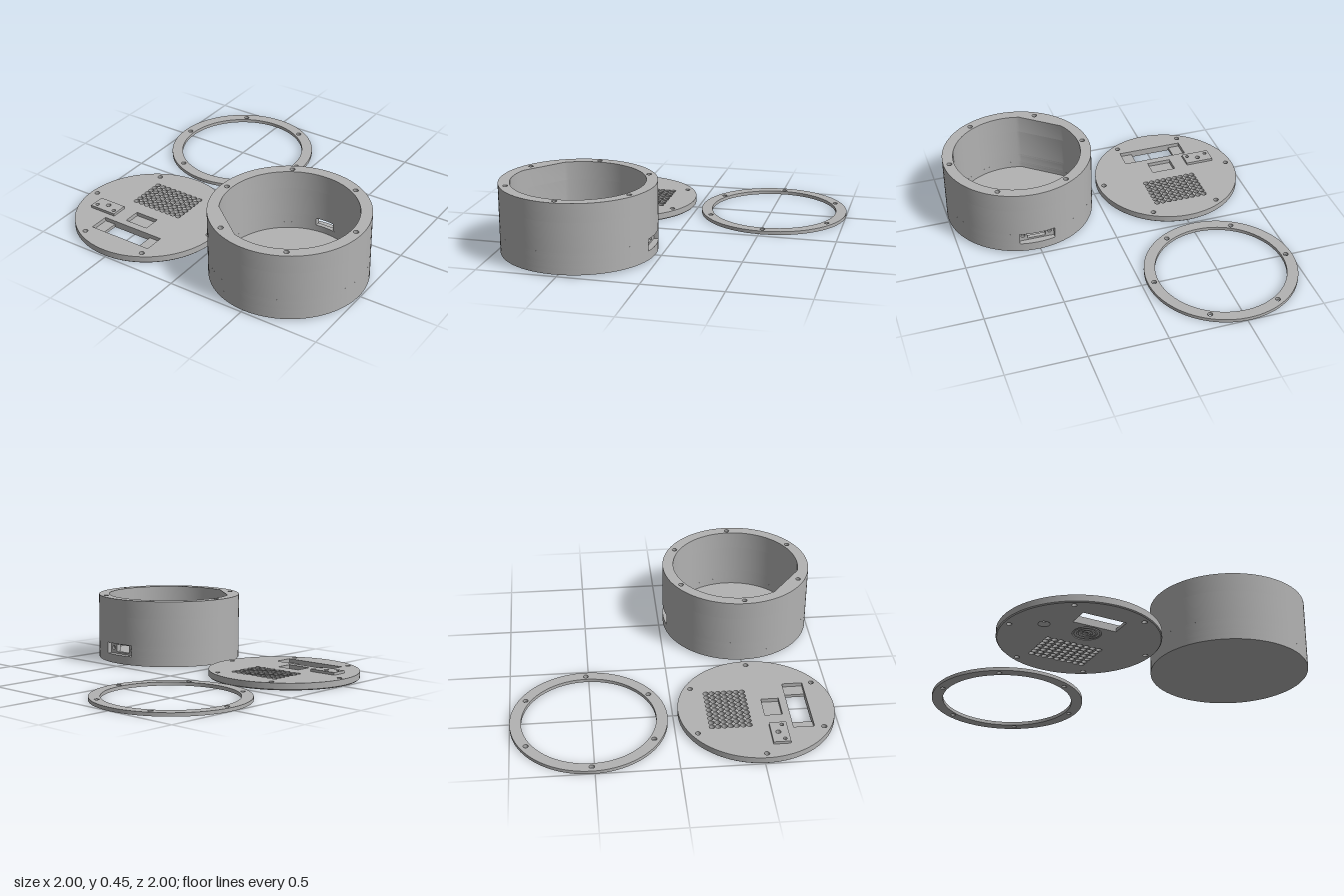
import * as THREE from 'three';
import { toCreasedNormals } from 'three/addons/utils/BufferGeometryUtils.js';

const R = 0.483, INNER = 0.413, BOLT = 0.443, TAU = Math.PI * 2;
const grey = new THREE.MeshStandardMaterial({ color: 0xb2b2b2, side: THREE.DoubleSide });
grey.name = 'plain grey';

// Outline helpers; shape coordinates are (x, -z) for flat parts
const circle = (x, y, r, n = 16) => {
  const pts = [];
  for (let i = 0; i < n; i++) {
    pts.push(new THREE.Vector2(x + r * Math.cos((i / n) * TAU), y + r * Math.sin((i / n) * TAU)));
  }
  return pts;
};
const rect = (x0, x1, y0, y1) => [[x0, y0], [x1, y0], [x1, y1], [x0, y1]].map((p) => new THREE.Vector2(...p));
const shapeOf = (outline, holes = []) => {
  const s = new THREE.Shape(outline);
  holes.forEach((h) => s.holes.push(new THREE.Path(h)));
  return s;
};
const boltHoles = () => [...Array(6).keys()].map((i) =>
  circle(BOLT * Math.cos((i * Math.PI) / 3), BOLT * Math.sin((i * Math.PI) / 3), 0.016));

// Horizontal slab between two heights
function slab(group, name, shape, y0, y1) {
  const geo = new THREE.ExtrudeGeometry(shape, { depth: y1 - y0, bevelEnabled: false, curveSegments: 48 });
  geo.rotateX(-Math.PI / 2);
  const mesh = new THREE.Mesh(toCreasedNormals(geo, 0.5), grey);
  mesh.name = name;
  mesh.position.y = y0;
  group.add(mesh);
  return mesh;
}

function makeGroup(name, x, z) {
  const g = new THREE.Group();
  g.name = name;
  g.position.set(x, 0, z);
  return g;
}

// Flat clamping ring
function clampRing() {
  const g = makeGroup('clampRing', -0.517, -0.517);
  slab(g, 'ring', shapeOf(circle(0, 0, R, 96), [circle(0, 0, INNER, 96), ...boltHoles()]), 0, 0.022);
  return g;
}

// Face plate with grille, window, sensor pocket and button mount
function facePlate() {
  const g = makeGroup('facePlate', -0.517, 0.513);
  const grille = [];
  for (let c = 0; c < 9; c++) {
    for (let r = 0; r < 7; r++) grille.push(circle(-0.168 + c * 0.0414, 0.292 - r * 0.038, 0.0175));
  }
  const through = [...grille, ...boltHoles()];
  const opening = rect(-0.138, 0.137, -0.326, -0.198);
  const bx = -0.27, by = -0.095, sy = -0.098;

  // underside layer with ring grooves
  slab(g, 'underside', shapeOf(circle(0, 0, R - 0.006, 96),
    [...through, opening, circle(bx, by, 0.035, 24), circle(0, sy, 0.085, 40)]), 0, 0.006);
  for (const [outer, inner] of [[0.075, 0.06], [0.05, 0.035], [0.025, 0.01]]) {
    slab(g, 'sensorRing', shapeOf(circle(0, sy, outer, 40), [circle(0, sy, inner, 32)]), 0, 0.006);
  }
  slab(g, 'plateCore', shapeOf(circle(0, 0, R, 96),
    [...through, opening, circle(bx, by, 0.035, 24)]), 0.006, 0.02);
  slab(g, 'plateTop', shapeOf(circle(0, 0, R, 96), [...through,
    rect(-0.213, 0.222, -0.326, -0.198), rect(-0.083, 0.077, -0.152, -0.042),
    circle(bx, by, 0.016)]), 0.02, 0.045);

  // chamfered lower edge
  const chamfer = new THREE.Mesh(new THREE.CylinderGeometry(R, R - 0.006, 0.006, 96, 1, true), grey);
  chamfer.name = 'chamfer';
  chamfer.position.y = 0.003;
  g.add(chamfer);

  // countersink below the button
  const sink = new THREE.Mesh(new THREE.CylinderGeometry(0.016, 0.035, 0.02, 24, 1, true), grey);
  sink.name = 'countersink';
  sink.position.set(bx, 0.01, -by);
  g.add(sink);

  slab(g, 'buttonMount', shapeOf(rect(-0.363, -0.177, -0.157, -0.052),
    [circle(bx, by, 0.016), circle(-0.335, -0.126, 0.012), circle(-0.204, -0.126, 0.012)]), 0.045, 0.062);
  return g;
}

// Deep cup with a flattened inner corner and a port at the back
function housing() {
  const g = makeGroup('housing', 0.517, 0.513);
  const A0 = (-106.5 * Math.PI) / 180, A1 = (-150 * Math.PI) / 180;
  const cavity = () => new THREE.Path().absarc(0, 0, INNER, A0, A1 + TAU, false).closePath();
  const wall = (holes = []) => {
    const s = shapeOf(circle(0, 0, R, 96), holes);
    s.holes.push(cavity());
    return s;
  };
  const w = 0.115, floorZ = 0.425, half = 0.06;
  const notchStart = () => {
    const a = Math.acos(w / R);
    return new THREE.Shape().absarc(0, 0, R, Math.PI - a, a + TAU, false).lineTo(w, floorZ);
  };
  // wall with the outer recess only
  const recessed = () => {
    const s = notchStart().lineTo(-w, floorZ).closePath();
    s.holes.push(cavity());
    return s;
  };
  // wall cut right through
  const b = Math.acos(half / INNER);
  const split = notchStart().lineTo(half, floorZ)
    .absarc(0, 0, INNER, b, A0, true)
    .absarc(0, 0, INNER, A1, -Math.PI - b, true)
    .lineTo(-half, floorZ).lineTo(-w, floorZ).closePath();

  slab(g, 'floor', shapeOf(circle(0, 0, R, 96)), 0.013, 0.04);
  slab(g, 'lowerWall', wall(), 0.04, 0.07);
  slab(g, 'portSill', recessed(), 0.07, 0.082);
  slab(g, 'portWall', split, 0.082, 0.133);
  slab(g, 'portLintel', recessed(), 0.133, 0.145);
  slab(g, 'middleWall', wall(), 0.145, 0.33);
  slab(g, 'rimWall', wall(boltHoles()), 0.33, 0.447);

  // mounting plate inside the port recess
  const plate = new THREE.Mesh(new THREE.ExtrudeGeometry(
    shapeOf(rect(-w, w, 0.07, 0.145), [rect(-half, half, 0.082, 0.133),
      circle(-0.088, 0.107, 0.013), circle(0.088, 0.107, 0.013)]),
    { depth: 0.015, bevelEnabled: false }), grey);
  plate.name = 'portPlate';
  plate.position.z = -floorZ - 0.015;
  g.add(plate);
  return g;
}

export function createModel() {
  const model = new THREE.Group();
  model.name = 'roundEnclosure';
  model.add(clampRing(), facePlate(), housing());
  return model;
}
